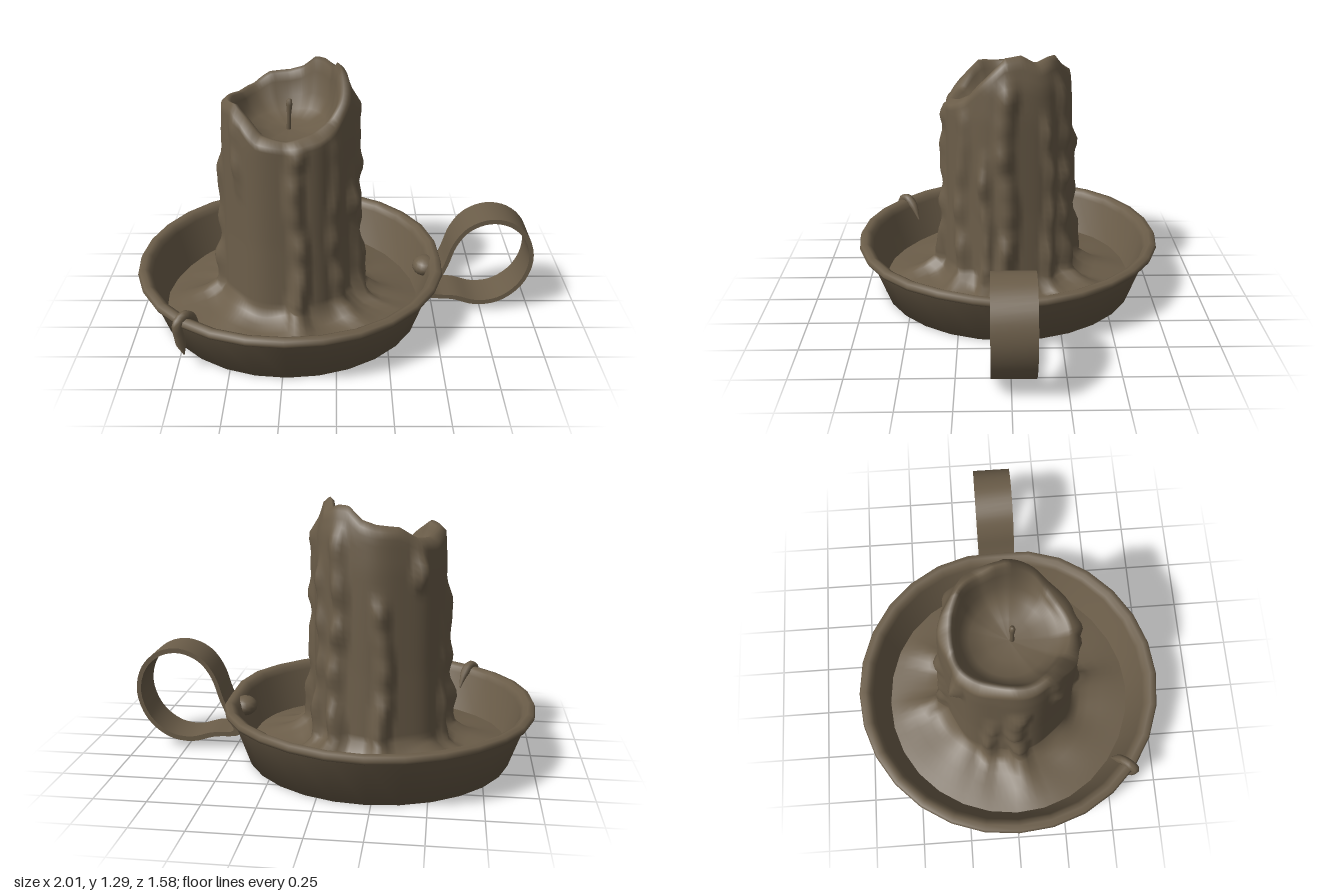
import * as THREE from 'three';
import { toCreasedNormals } from 'three/addons/utils/BufferGeometryUtils.js';

const CX = -0.23; // axis of dish and candle
const V2 = (x, y) => new THREE.Vector2(x, y);
const rad = THREE.MathUtils.degToRad;
const smooth = THREE.MathUtils.smoothstep;

// Piecewise-linear lookup in [[x, y], ...]
function lookup(table, x) {
  if (x <= table[0][0]) return table[0][1];
  for (let i = 1; i < table.length; i++) {
    const [x0, y0] = table[i - 1], [x1, y1] = table[i];
    if (x <= x1) return y0 + (y1 - y0) * (x - x0) / (x1 - x0);
  }
  return table[table.length - 1][1];
}

// Height of the melted rim by angle (0 = +x, 90 = front)
const RIM = [[-180, 1.16], [-150, 1.13], [-128, 1.14], [-112, 1.19], [-90, 1.2], [-76, 1.22],
  [-60, 1.28], [-46, 1.28], [-30, 1.26], [-14, 1.3], [4, 1.29], [22, 1.2], [42, 1.1],
  [60, 1.06], [90, 1.03], [115, 1.05], [132, 1.12], [148, 1.17], [165, 1.16], [180, 1.16]];

// Wax runs: angle, half width in degrees, top, lower end, thickness, phase
const DRIPS = [
  [2, 9, 1.18, 0, 0.035, 0.2], [20, 6, 0.8, 0, 0.04, 1.7], [46, 8, 1.0, 0, 0.03, 3.1],
  [82, 8, 1.0, 0, 0.04, 0.9], [140, 7, 1.1, 0.72, 0.025, 4.0],
  [177, 9, 0.86, 0, 0.04, 2.9], [-161, 7, 0.7, 0, 0.03, 5.1], [-128, 7, 1.1, 0.88, 0.045, 1.1],
  [-97, 8, 0.85, 0, 0.036, 0.4], [-57, 9, 1.16, 0, 0.045, 3.7], [-37, 6, 1.0, 0, 0.03, 5.6]];

// Outward bulge of the wax runs, which wander and thicken toward the foot
function dripOffset(deg, y) {
  let out = 0;
  for (const [a, w, top, low, t, ph] of DRIPS) {
    const mid = a + 2.5 * Math.sin(y * 9 + ph);
    const d = Math.abs(((deg - mid + 540) % 360) - 180) / w;
    if (d >= 1) continue;
    const ends = (low ? smooth(y, low, low + 0.06) : 1) * (1 - smooth(y, top - 0.08, top + 0.06));
    const lump = 0.75 + 0.2 * Math.sin(y * (24 + ph) + ph * 2) + 0.15 * Math.sin(y * (41 - 2 * ph) + ph);
    out = Math.max(out, t * (1 - d * d) * (lump + 0.5 * (1 - smooth(y, 0.2, 0.5))) * ends);
  }
  return out;
}

// Candle and wax pool: one surface from the hollow, over the rim, down and out
function candleGeometry() {
  const N = 100, FLOOR = 0.99, rows = [];
  const hollow = [[0, 0], [0.1, 0.03], [0.18, 0.15], [0.225, 0.4], [0.25, 0.75], [0.265, 0.95], [0.285, 1]];
  for (const [r, f] of hollow) rows.push((deg, rim) => [
    r * (1 - 0.12 * f * smooth(rim, 1.15, 1.3)) + (f > 0.5 ? 0.008 * Math.sin(rad(deg * 5)) : 0),
    FLOOR + (rim - FLOOR) * f]);
  const WALL = 30;
  for (let k = 0; k <= WALL; k++) rows.push((deg, rim) => {
    const t = k / WALL, top = rim - 0.025, y = top + (0.17 - top) * t;
    const body = lookup([[0.17, 0.34], [0.5, 0.328], [1.0, 0.322], [1.15, 0.312], [1.3, 0.27]], y);
    return [body + 0.006 * Math.sin(rad(deg * 7)) + dripOffset(deg, y), y];
  });
  const pool = [[0.365, 0.135, 1], [0.4, 0.11, 1], [0.45, 0.095, 0.7], [0.52, 0.082, 0.4], [0.6, 0.068, 0.1], [0.665, 0.055, 0]];
  for (const [r, y, k] of pool) rows.push((deg) => [
    r + k * dripOffset(deg, 0.2) * 0.8 + 0.01 * Math.sin(rad(deg * 3)),
    y + k * (0.012 * Math.sin(rad(deg * 8 + r * 300)) + 0.3 * dripOffset(deg, 0.2)) + 0.006 * Math.sin(rad(deg * 5))]);

  const pos = [], idx = [];
  rows.forEach((row, i) => {
    for (let j = 0; j < N; j++) {
      const deg = -180 + j * 360 / N;
      const [r, y] = row(deg, lookup(RIM, deg));
      pos.push(r * Math.cos(rad(deg)), y, r * Math.sin(rad(deg)));
      if (i === rows.length - 1) continue;
      const a = i * N + j, b = i * N + (j + 1) % N;
      idx.push(a, b, a + N, b, b + N, a + N);
    }
  });
  const g = new THREE.BufferGeometry();
  g.setAttribute('position', new THREE.Float32BufferAttribute(pos, 3));
  g.setIndex(idx);
  g.computeVertexNormals();
  return g;
}

// Dish with a rolled lip, slightly bent near the handle
function dishGeometry() {
  const profile = [V2(0, 0.006), V2(0.664, 0.008), V2(0.745, 0.25), V2(0.772, 0.252),
    V2(0.78, 0.268), V2(0.772, 0.286), V2(0.745, 0.291), V2(0.722, 0.278), V2(0.708, 0.25),
    V2(0.645, 0.05), V2(0.62, 0.03), V2(0, 0.03)];
  const g = new THREE.LatheGeometry(profile, 28);
  const p = g.attributes.position;
  for (let i = 0; i < p.count; i++) {
    const x = p.getX(i), y = p.getY(i), z = p.getZ(i);
    if (y < 0.2) continue;
    const a = Math.atan2(z, x), dent = Math.exp(-((a / 0.22) ** 2));
    const s = 1 - 0.012 * dent + 0.012 * Math.abs(Math.sin(a));
    p.setXYZ(i, x * s, y - 0.02 * dent + 0.003 * Math.sin(a * 5), z * s);
  }
  g.computeVertexNormals();
  // rejoin the shading across the lathe seam
  const n = g.attributes.normal, rows = profile.length, last = p.count - rows;
  for (let i = 0; i < rows; i++) {
    const v = new THREE.Vector3().fromBufferAttribute(n, i)
      .add(new THREE.Vector3().fromBufferAttribute(n, last + i)).normalize();
    n.setXYZ(i, v.x, v.y, v.z);
    n.setXYZ(last + i, v.x, v.y, v.z);
  }
  return g;
}

// Flat strap bent into a ring
function handleGeometry() {
  const outline = [[0.47, 0.09], [0.6, 0.073], [0.72, 0.042], [0.84, 0.062], [0.95, 0.155], [1.0, 0.3],
    [0.967, 0.435], [0.88, 0.515], [0.77, 0.535], [0.66, 0.49], [0.59, 0.4], [0.545, 0.27], [0.49, 0.14]];
  const ring = (s) => new THREE.CatmullRomCurve3(
    outline.map(([x, y]) => new THREE.Vector3(0.775 + (x - 0.775) * s, 0.29 + (y - 0.29) * s, 0)), true)
    .getPoints(52).slice(0, -1).map((p) => V2(p.x, p.y));
  const shape = new THREE.Shape(ring(1));
  shape.holes.push(new THREE.Path(ring(0.9)));
  const g = new THREE.ExtrudeGeometry(shape, { depth: 0.2, bevelEnabled: false });
  g.translate(0, 0, -0.11);
  return toCreasedNormals(g, 0.7);
}

export function createModel() {
  const group = new THREE.Group();
  const bronze = new THREE.MeshStandardMaterial({ color: 0x6b5d49, side: THREE.DoubleSide });
  bronze.name = 'dull bronze';
  const add = (name, geometry, x = 0, y = 0, z = 0) => {
    const m = new THREE.Mesh(geometry, bronze);
    m.name = name;
    m.position.set(x, y, z);
    group.add(m);
    return m;
  };

  add('dish', dishGeometry(), CX);
  add('candleAndWaxPool', candleGeometry(), CX);

  // Wick with a burnt knob
  const wick = add('wick', new THREE.LatheGeometry([V2(0, 0), V2(0.011, 0), V2(0.009, 0.07),
    V2(0.015, 0.13), V2(0.012, 0.155), V2(0, 0.16)], 8), CX, 0.985, 0.015);
  wick.rotation.z = -0.04;

  // Handle and the rivet bump pressed into the rim
  add('handle', handleGeometry());
  const bump = add('handleRivet', new THREE.SphereGeometry(1, 16, 10), 0.46, 0.215, -0.015);
  bump.scale.set(0.065, 0.05, 0.07);

  // Wax run hanging over the lip: tube tapered along its length
  const a = rad(129), dir = V2(Math.cos(a), Math.sin(a));
  const path = new THREE.CatmullRomCurve3([[0.66, 0.18], [0.7, 0.26], [0.745, 0.295], [0.79, 0.27], [0.785, 0.2], [0.765, 0.09]]
    .map(([r, y]) => new THREE.Vector3(CX + r * dir.x, y, r * dir.y)));
  const run = new THREE.TubeGeometry(path, 20, 0.024, 8);
  const p = run.attributes.position, v = new THREE.Vector3();
  for (let i = 0; i < p.count; i++) {
    const t = Math.floor(i / 9) / 20, c = path.getPointAt(t);
    const s = 0.15 + 0.85 * Math.min(1, t * 4, (1 - t) * 6);
    v.fromBufferAttribute(p, i).sub(c).multiplyScalar(s).add(c);
    p.setXYZ(i, v.x, v.y, v.z);
  }
  add('rimWaxRun', run);

  return group;
}
